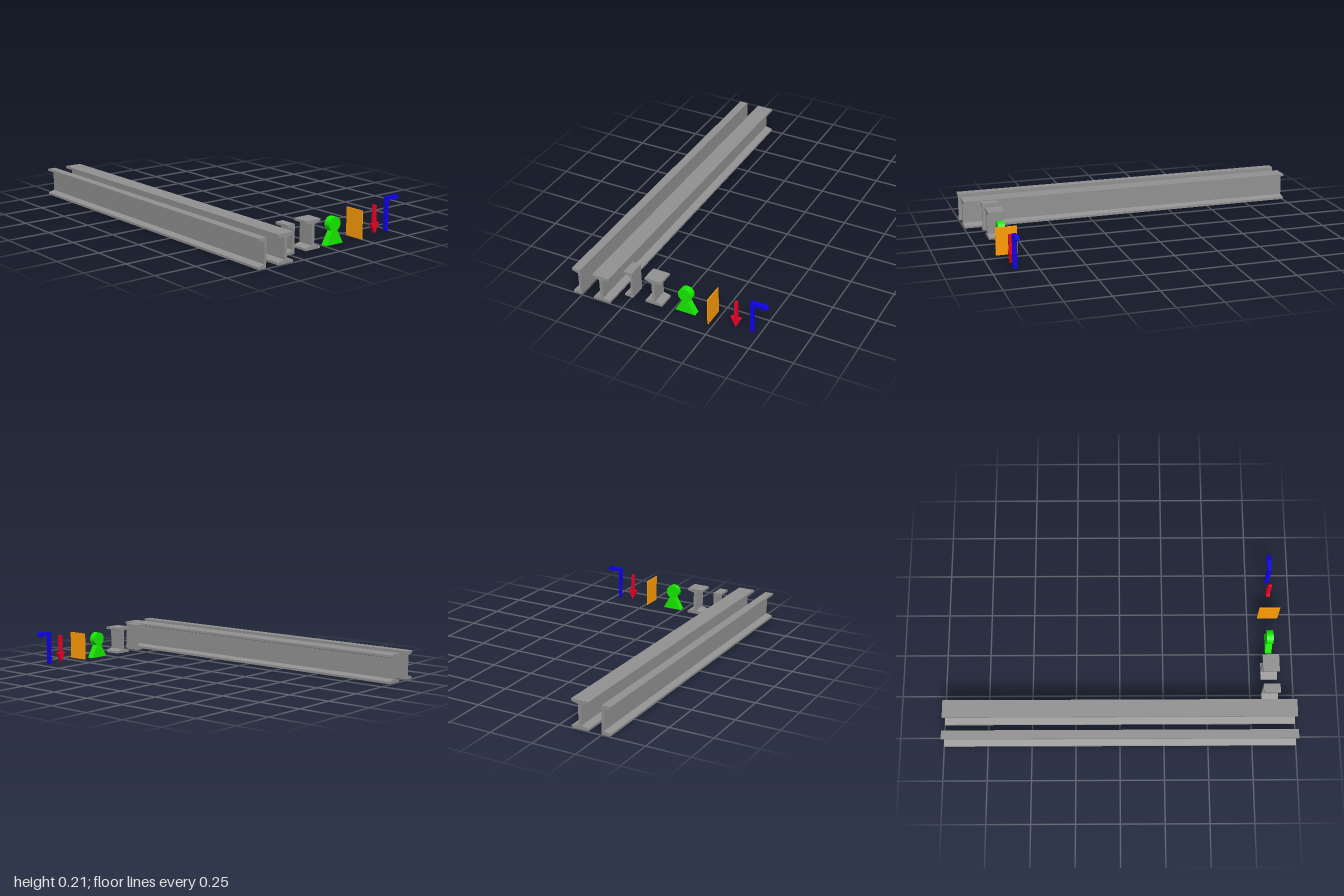
import * as THREE from 'three';

const material = (color) => new THREE.MeshStandardMaterial({ color });
const steel = material(0x919191);
const shapeOf = (points) => new THREE.Shape(points.map(([x, y]) => new THREE.Vector2(x, y)));

// Extrude a front-facing outline between two depths
function extrude(name, shape, mat, zBack, zFront, x = 0, y = 0) {
  const geometry = new THREE.ExtrudeGeometry(shape, { depth: zFront - zBack, bevelEnabled: false, curveSegments: 20 });
  const mesh = new THREE.Mesh(geometry, mat);
  mesh.name = name;
  mesh.position.set(x, y, zBack);
  return mesh;
}

const HEIGHT = 0.16, WIDTH = 0.05, TIP = 0.013, ROOT = 0.023;

// Half section with tapered flanges opening to -x, from flange tip to web face
const flangeSide = (tipX, webX) => [
  [tipX, HEIGHT], [tipX, HEIGHT - TIP], [webX, HEIGHT - ROOT],
  [webX, ROOT], [tipX, TIP], [tipX, 0],
];

function channelShape() {
  return shapeOf([...flangeSide(0, WIDTH - 0.013), [WIDTH, 0], [WIDTH, HEIGHT]]);
}

function beamShape() {
  const left = flangeSide(-WIDTH, -0.009);
  const right = left.map(([x, y]) => [-x, y]).reverse();
  return shapeOf([...left, ...right]);
}

// Keyhole-like marker: a round head merged into a flared base
function markerShape() {
  const shape = new THREE.Shape();
  const r = 0.04, cy = 0.111, a = 1.13;
  shape.moveTo(-0.06, 0);
  shape.lineTo(0.06, 0);
  shape.lineTo(Math.cos(a) * r, cy - Math.sin(a) * r);
  shape.absarc(0, cy, r, -a, Math.PI + a, false);
  shape.lineTo(-0.06, 0);
  return shape;
}

export function createModel() {
  const group = new THREE.Group();

  // Long rolled sections
  group.add(extrude('longChannel', channelShape(), steel, -1, 1, -0.551, 0.003));
  group.add(extrude('longBeam', beamShape(), steel, -1, 1, -0.374, 0.003));

  // Short offcuts of the same sections
  group.add(extrude('shortChannel', channelShape(), steel, 0.815, 0.909, -0.285, 0.008));
  group.add(extrude('shortBeam', beamShape(), steel, 0.815, 0.909, -0.108, 0.008));

  // Green marker
  group.add(extrude('marker', markerShape(), material(0x17ea00), 0.848, 0.886, 0.068));

  // Thin orange plate
  const plate = new THREE.Mesh(new THREE.BoxGeometry(0.006, 0.158, 0.12), material(0xff9d05));
  plate.name = 'plate';
  plate.position.set(0.2265, 0.088, 0.869);
  group.add(plate);

  // Red arrow pointing down
  const down = shapeOf([
    [0, 0.008], [0.029, 0.067], [0.008, 0.067], [0.008, 0.167],
    [-0.008, 0.167], [-0.008, 0.067], [-0.029, 0.067],
  ]);
  group.add(extrude('downArrow', down, material(0xea0025), 0.866, 0.886, 0.366));

  // Blue arrow rising and turning towards +x
  const bent = shapeOf([
    [0.45, 0.008], [0.466, 0.008], [0.466, 0.181], [0.514, 0.181], [0.514, 0.171],
    [0.55, 0.189], [0.514, 0.207], [0.514, 0.198], [0.45, 0.198],
  ]);
  group.add(extrude('bentArrow', bent, material(0x0e00ea), 0.862, 0.886));

  return group;
}
